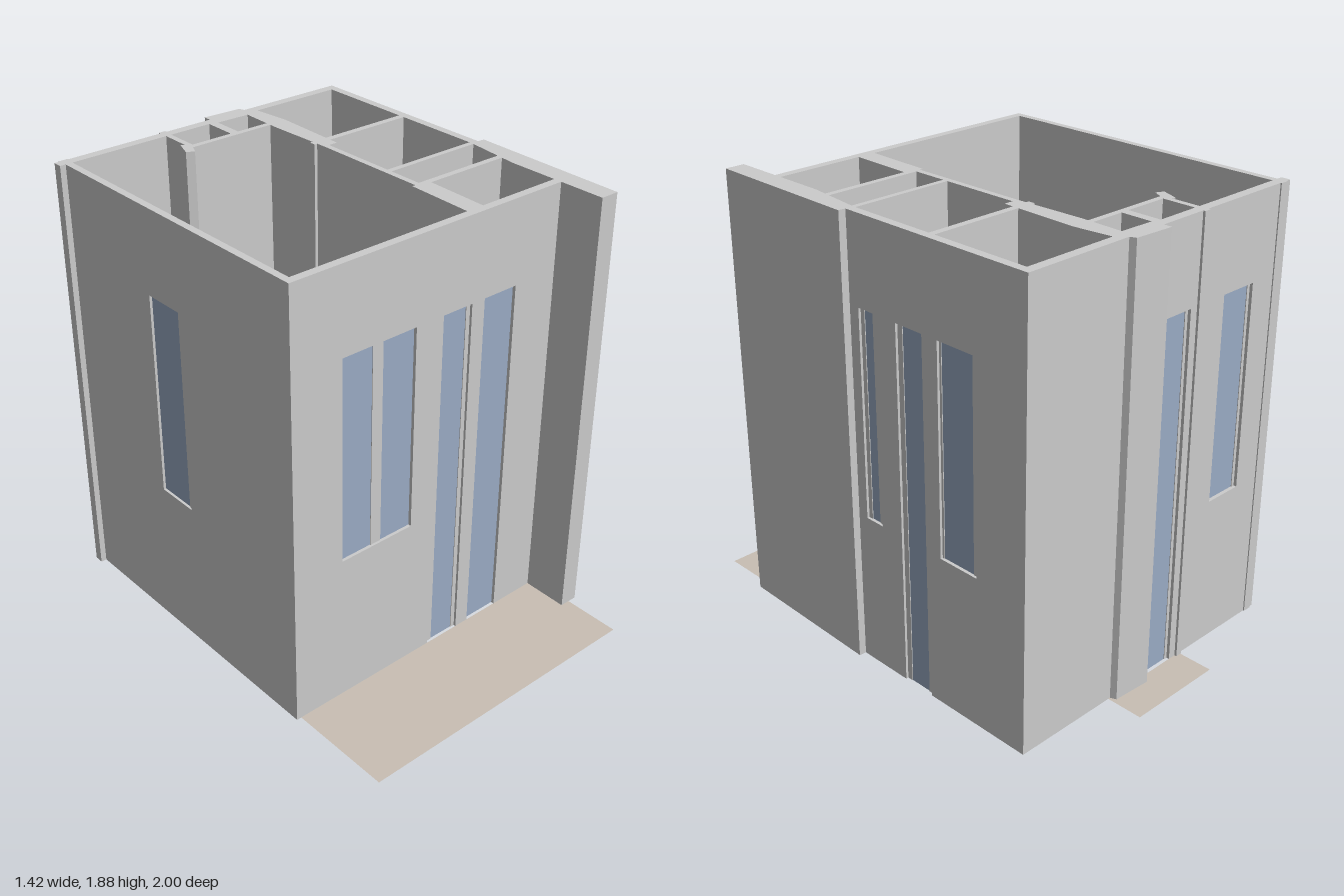
import * as THREE from 'three';

const H = 1.88, HEAD = 1.52, SILL = 0.65;
const wallMat = new THREE.MeshStandardMaterial({ color: 0xcccccc, flatShading: true });
const glassMat = new THREE.MeshStandardMaterial({ color: 0x9aabc4, side: THREE.DoubleSide });
const floorMat = new THREE.MeshStandardMaterial({ color: 0xc9bfb4, side: THREE.DoubleSide });

export function createModel() {
  const house = new THREE.Group();
  house.name = 'house';
  const add = (parent, name, geometry, material) => {
    const mesh = new THREE.Mesh(geometry, material);
    mesh.name = name;
    parent.add(mesh);
    return mesh;
  };

  // Outer wall from a to b along its own axis, with openings and glass.
  // Opening: { a, b, door, panes: [[from, to], ...] }; parts beside the panes become jambs.
  const outerWall = (name, a, b, thickness, openings) => {
    const group = new THREE.Group();
    group.name = name;
    const shape = new THREE.Shape().moveTo(a, 0);
    for (const o of openings) {
      if (o.door) {
        shape.lineTo(o.a, 0).lineTo(o.a, HEAD).lineTo(o.b, HEAD).lineTo(o.b, 0);
      } else {
        shape.holes.push(new THREE.Path().moveTo(o.a, SILL).lineTo(o.a, HEAD)
          .lineTo(o.b, HEAD).lineTo(o.b, SILL).closePath());
      }
    }
    shape.lineTo(b, 0).lineTo(b, H).lineTo(a, H).closePath();
    add(group, name + 'Panel', new THREE.ExtrudeGeometry(shape, { depth: thickness, bevelEnabled: false }), wallMat);
    for (const o of openings) {
      const low = o.door ? 0 : SILL, h = HEAD - low, y = low + h / 2;
      let edge = o.a;
      for (const [p, q] of [...o.panes, [o.b, o.b]]) {
        if (p - edge > 0.004) {
          add(group, 'jamb', new THREE.BoxGeometry(p - edge, h, 0.014), wallMat)
            .position.set((p + edge) / 2, y, thickness / 2);
        }
        if (q > p) {
          add(group, o.door ? 'doorGlass' : 'windowGlass', new THREE.BoxGeometry(q - p, h, 0.008), glassMat)
            .position.set((p + q) / 2, y, thickness / 2);
        }
        edge = q;
      }
    }
    house.add(group);
    return group;
  };

  outerWall('frontWall', -0.68, 0.63, 0.035, [
    { a: -0.46, b: -0.11, panes: [[-0.46, -0.31], [-0.26, -0.11]] },
    { a: 0.005, b: 0.17, door: true, panes: [[0.035, 0.15]] },
    { a: 0.235, b: 0.40, door: true, panes: [[0.235, 0.40]] },
  ]).position.z = 0.515;

  outerWall('backWall', -0.715, 0.68, 0.04, [
    { a: -0.53, b: -0.355, panes: [[-0.515, -0.355]] },
    { a: -0.16, b: 0.005, door: true, panes: [[-0.145, -0.01]] },
  ]).position.z = -0.84;

  const left = outerWall('leftSideWall', -0.82, 0.55, 0.03, [
    { a: -0.28, b: -0.09, panes: [[-0.28, -0.11]] },
  ]);
  left.rotation.y = -Math.PI / 2;
  left.position.x = -0.66;

  const right = outerWall('rightSideWall', -0.84, 0.07, 0.035, [
    { a: -0.60, b: -0.41, panes: [[-0.575, -0.42]] },
    { a: -0.345, b: -0.195, door: true, panes: [[-0.32, -0.22]] },
    { a: -0.085, b: 0.005, panes: [[-0.06, -0.015]] },
  ]);
  right.rotation.y = -Math.PI / 2;
  right.position.x = 0.68;

  // Full-height walls raised from plan outlines, points as [x, z]
  const planWall = (name, points) => {
    const shape = new THREE.Shape(points.map(([x, z]) => new THREE.Vector2(x, -z)));
    const geometry = new THREE.ExtrudeGeometry(shape, { depth: H, bevelEnabled: false });
    add(house, name, geometry.rotateX(-Math.PI / 2), wallMat);
  };
  const rect = (x0, z0, x1, z1) => [[x0, z0], [x1, z0], [x1, z1], [x0, z1]];

  planWall('sideButtress', [[0.645, 0.05], [0.71, 0.055], [0.695, 0.75], [0.612, 0.75], [0.615, 0.3]]);
  planWall('backChimneyWall', [[0.02, -0.875], [0.19, -0.865], [0.2, -0.84], [0.24, -0.8], [0.18, -0.785], [0.02, -0.79]]);
  planWall('spineBack', [[0.175, -0.82], [0.235, -0.82], [0.255, -0.64], [0.245, -0.3], [0.18, -0.3], [0.17, -0.6]]);
  planWall('spineMiddle', rect(0.18, -0.31, 0.205, 0.23));
  planWall('spineFront', [[0.165, 0.22], [0.245, 0.22], [0.235, 0.52], [0.155, 0.52]]);
  planWall('closetEnd', [[-0.225, -0.82], [-0.2, -0.82], [-0.2, -0.64], [-0.225, -0.64]]);
  planWall('closetStub', [[-0.24, -0.68], [-0.2, -0.66], [-0.235, -0.59], [-0.268, -0.605]]);
  planWall('closetFront', rect(-0.225, -0.655, 0.18, -0.63));
  planWall('closetDivider', rect(-0.012, -0.82, 0.025, -0.64));
  planWall('sidePartitionBack', rect(0.165, -0.37, 0.655, -0.342));
  planWall('sidePartitionMiddle', rect(0.2, 0.04, 0.655, 0.063));
  planWall('sidePartitionFront', rect(0.2, 0.212, 0.635, 0.238));
  planWall('backCornerPost', rect(-0.695, -0.845, -0.655, -0.8));
  planWall('porchPost', rect(-0.225, -0.85, -0.195, -0.8));

  // Thin floor sheets, one per room: [name, x0, z0, x1, z1]
  const floors = [
    ['frontTerrace', -0.67, 0.55, 0.655, 1],
    ['backStep', -0.22, -1, 0.21, -0.84],
    ['mainRoomFloor', -0.66, -0.282, 0.18, 0.5],
    ['backRoomFloor', -0.652, -0.8, -0.235, -0.3],
    ['hallFloor', -0.235, -0.622, 0.172, -0.3],
    ['entryFloor', -0.2, -0.8, -0.012, -0.655],
    ['closetFloor', 0.03, -0.79, 0.172, -0.655],
    ['sideRoomBackFloor', 0.245, -0.8, 0.645, -0.392],
    ['sideRoomMiddleFloor', 0.222, -0.342, 0.645, 0.04],
    ['storeFloor', 0.222, 0.08, 0.63, 0.212],
    ['sideRoomFrontFloor', 0.24, 0.238, 0.615, 0.5],
  ];
  for (const [name, x0, z0, x1, z1] of floors) {
    const sheet = new THREE.PlaneGeometry(x1 - x0, z1 - z0).rotateX(-Math.PI / 2);
    add(house, name, sheet, floorMat).position.set((x0 + x1) / 2, 0.001, (z0 + z1) / 2);
  }
  return house;
}
